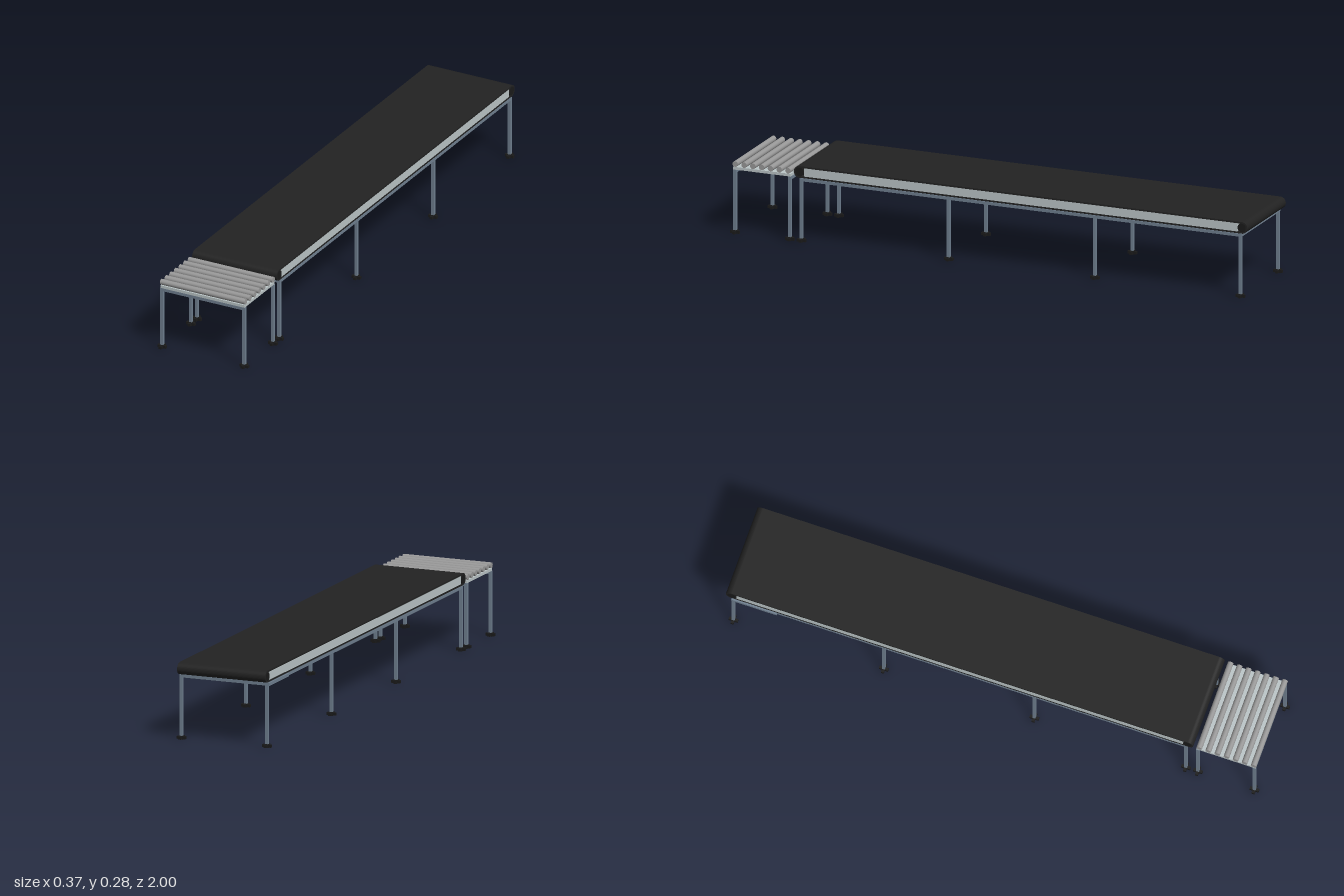
import * as THREE from 'three';

const mat = (color) => new THREE.MeshStandardMaterial({ color });

export function createModel() {
  const root = new THREE.Group();
  root.name = 'conveyor';
  const steel = mat(0x708090), black = mat(0x222222), rubber = mat(0x1a1a1a);
  const pale = mat(0xbcc6c8), grey = mat(0x999999);

  const add = (parent, name, geometry, material, x, y, z) => {
    const mesh = new THREE.Mesh(geometry, material);
    mesh.name = name;
    mesh.position.set(x, y, z);
    parent.add(mesh);
    return mesh;
  };
  const box = (parent, name, w, h, d, material, x, y, z) =>
    add(parent, name, new THREE.BoxGeometry(w, h, d), material, x, y, z);
  const group = (name) => {
    const g = new THREE.Group();
    g.name = name;
    root.add(g);
    return g;
  };

  const legX = 0.166, bar = 0.011, barY = 0.232, width = 0.342;

  // Leg standing on a cross-shaped foot
  const leg = (parent, x, z, top) => {
    box(parent, 'leg', bar, top - 0.01, bar, steel, x, (top + 0.01) / 2, z);
    box(parent, 'footBarAcross', 0.034, 0.01, 0.011, rubber, x, 0.007, z);
    box(parent, 'footBarAlong', 0.011, 0.01, 0.034, rubber, x, 0.007, z);
    box(parent, 'footHub', 0.012, 0.014, 0.012, rubber, x, 0.007, z);
  };

  // Stadium outline of the belt loop, drawn in (z, y)
  const z0 = -0.978, z1 = 0.733;
  const stadium = (target, r) => {
    target.absarc(z1, 0, r, -Math.PI / 2, Math.PI / 2, false);
    target.absarc(z0, 0, r, Math.PI / 2, Math.PI * 1.5, false);
    target.closePath();
    return target;
  };

  // Belt loop with end drums and a pale bed between them
  const belt = group('beltUnit');
  const beltY = 0.26, r = 0.0215;
  const loop = stadium(new THREE.Shape(), r);
  loop.holes.push(stadium(new THREE.Path(), r - 0.006));
  const loopGeo = new THREE.ExtrudeGeometry(loop, { depth: width, bevelEnabled: false, curveSegments: 16 });
  loopGeo.translate(0, 0, -width / 2).rotateY(-Math.PI / 2);
  add(belt, 'belt', loopGeo, black, 0, beltY, 0);
  for (const z of [z0, z1]) {
    const drum = new THREE.CylinderGeometry(r - 0.005, r - 0.005, width, 24).rotateZ(Math.PI / 2);
    add(belt, 'drum', drum, rubber, 0, beltY, z);
  }
  box(belt, 'bed', width - 0.002, 2 * (r - 0.006), z1 - z0 - 0.036, pale, 0, beltY, (z0 + z1) / 2);

  // Belt frame: side rails, cross bars and four pairs of legs
  const frame = group('beltFrame');
  const rows = [0.726, 0.157, -0.408, -0.972];
  const span = rows[0] - rows[3];
  for (const s of [-1, 1]) {
    box(frame, 'sideRail', bar, bar, span + bar, steel, s * legX, barY, (rows[0] + rows[3]) / 2);
    for (const z of rows) leg(frame, s * legX, z, barY);
  }
  for (const z of rows) box(frame, 'crossBar', legX * 2, bar, bar, steel, 0, barY, z);
  box(frame, 'outerRail', 0.006, bar, 0.17, steel, -0.174, barY, -0.892);

  // Roller table at the front end
  const table = group('rollerTable');
  box(table, 'tray', width - 0.002, 0.01, 0.222, pale, 0, 0.243, 0.878);
  const rollerGeo = new THREE.CylinderGeometry(0.0105, 0.0105, width, 16).rotateZ(Math.PI / 2);
  for (let i = 0; i < 7; i++) add(table, 'roller', rollerGeo, grey, 0, 0.259, 0.777 + i * 0.034);
  for (const z of [0.771, 0.983]) {
    box(table, 'tableCrossBar', legX * 2, bar, bar, steel, 0, barY, z);
    for (const s of [-1, 1]) leg(table, s * legX, z, 0.238);
  }

  return root;
}
